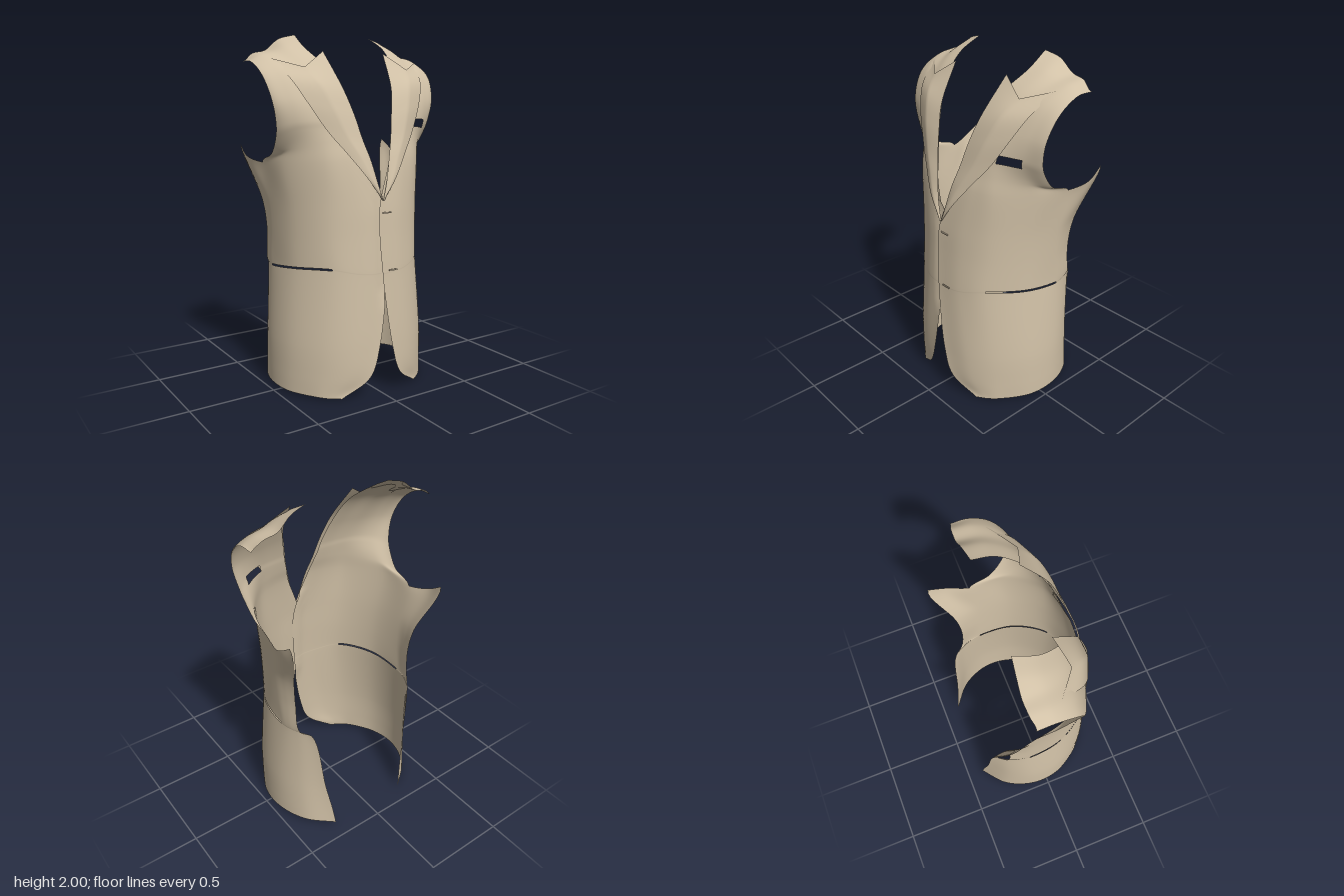
import * as THREE from 'three';

const K = 8; // subdivisions between neighbouring control points

// Sections below the armhole, hem upwards: front edge, front, side and back edge.
const LOWER = [
  [[.25, .01, .335], [.36, .015, .245], [.467, .025, -.1], [.25, 0, -.4]],
  [[.1, .12, .392], [.35, .12, .257], [.467, .12, -.1], [.265, .12, -.385]],
  [[.04, .3, .4], [.335, .3, .27], [.463, .3, -.1], [.295, .3, -.36]],
  [[-.015, .69, .383], [.28, .728, .285], [.432, .7, -.12], [.355, .7, -.312]], // pocket slit, top of vent
  [[-.028, .9, .37], [.29, .9, .268], [.438, .9, -.1], [.407, .9, -.235]],
  [[-.02, 1.07, .357], [.295, 1.07, .26], [.45, 1.07, -.1], [.425, 1.07, -.255]],
  [[.07, 1.32, .318], [.305, 1.31, .25], [.48, 1.295, -.13], [.507, 1.385, -.357]], // armhole base
];
const SLIT_ROW = 3, VENT_TOP = [.398, .715, -.258];

// Sections of chest and shoulder: neck edge, front and armhole edge.
const UPPER = [
  [[.095, 1.41, .29], [.3, 1.41, .24], [.487, 1.35, 0]],
  [[.115, 1.475, .272], [.3, 1.487, .23], [.5, 1.45, .08]], // breast pocket, lower lip
  [[.125, 1.52, .262], [.31, 1.53, .222], [.51, 1.51, .104]], // breast pocket, upper lip
  [[.16, 1.65, .215], [.338, 1.65, .18], [.535, 1.63, .112]],
  [[.215, 1.81, .125], [.385, 1.8, .088], [.56, 1.765, .05]],
  [[.268, 1.925, -.02], [.425, 1.885, -.045], [.57, 1.838, -.06]],
  [[.255, 2, -.152], [.43, 1.91, -.172], [.572, 1.843, -.16]], // shoulder seam
];
const ARMHOLE_ROW = LOWER.length, BREAST_POCKET_ROW = ARMHOLE_ROW + 1, ARMHOLE_COL = 4;

// Lapel from its foot up: roll edge and outer edge; the last row has the notch between.
const LAPEL = [
  [[0, 1.1, .362], [.006, 1.1, .362]],
  [[.03, 1.2, .35], [.09, 1.215, .354]],
  [[.06, 1.32, .328], [.19, 1.35, .306]],
  [[.09, 1.42, .3], [.285, 1.475, .252]],
  [[.125, 1.57, .258], [.37, 1.62, .198]],
  [[.16, 1.7, .207], [.43, 1.74, .132]],
  [[.2, 1.9, .068], [.34, 1.81, .104], [.48, 1.855, 0]],
];

const toVectors = row => row.map(p => new THREE.Vector3(...p));

// Put a point pushed outwards between each pair, so that a section rounds the body.
function rounded(row) {
  const out = [row[0]];
  for (let i = 1; i < row.length; i++) {
    const a = row[i - 1], b = row[i];
    const swell = 1 + .75 * ((a.x - b.x) ** 2 + (a.z - b.z) ** 2);
    out.push(new THREE.Vector3(
      (a.x + b.x) / 2 * swell, a.y + (b.y - a.y) * .3, (a.z + b.z) / 2 * swell), b);
  }
  return out;
}

function bodyRows() {
  const lower = LOWER.map(toVectors);
  // the upper lip of the slit steps in at the top of the vent
  const lip = lower[SLIT_ROW].map(p => p.clone().setY(p.y + .009));
  lip[3].set(...VENT_TOP);
  lower.splice(SLIT_ROW + 1, 0, lip);
  const rows = [...lower, ...UPPER.map(toVectors)].map(rounded);
  // carry the short rows on behind the armhole so the grid is full
  const base = rows[ARMHOLE_ROW];
  for (const row of rows) {
    const shift = row[ARMHOLE_COL].clone().sub(base[ARMHOLE_COL]);
    while (row.length < base.length) row.push(base[row.length].clone().add(shift));
  }
  return rows;
}

function lapelRows() {
  return LAPEL.map(toVectors).map(row => {
    if (row.length === 3) return row;
    const [inner, outer] = row;
    const middle = inner.clone().lerp(outer, .5);
    middle.z += .3 * (outer.x - inner.x) ** 2;
    return [inner, middle, outer];
  });
}

function sampleSpline(points) {
  const n = (points.length - 1) * K;
  const curve = new THREE.CatmullRomCurve3(points);
  return Array.from({ length: n + 1 }, (_, i) => curve.getPoint(i / n));
}

function sampleStraight(points) {
  const out = [points[0].clone()];
  for (let i = 1; i < points.length; i++)
    for (let k = 1; k <= K; k++) out.push(points[i - 1].clone().lerp(points[i], k / K));
  return out;
}

// Smooth sheet through rows of control points; keep(row, col) can leave out whole patches.
function sheet(rows, side, sampleRow, keep, adjust) {
  const across = rows.map(sampleRow);
  const cols = across[0].length;
  const columns = Array.from({ length: cols }, (_, j) => sampleSpline(across.map(r => r[j])));
  const count = columns[0].length;
  const position = [], index = [];
  for (let i = 0; i < count; i++)
    for (let j = 0; j < cols; j++) {
      const p = columns[j][i].clone();
      adjust(p, j / (cols - 1));
      position.push(p.x * side, p.y, p.z);
    }
  for (let i = 0; i < count - 1; i++)
    for (let j = 0; j < cols - 1; j++) {
      if (!keep(Math.floor(i / K), Math.floor(j / K))) continue;
      const a = i * cols + j, b = a + 1, c = a + cols, d = c + 1;
      if (side > 0) index.push(a, b, d, a, d, c);
      else index.push(a, d, b, a, c, d);
    }
  const geometry = new THREE.BufferGeometry();
  geometry.setAttribute('position', new THREE.Float32BufferAttribute(position, 3));
  geometry.setIndex(index);
  geometry.computeVertexNormals();
  return geometry;
}

export function createModel() {
  const jacket = new THREE.Group();
  jacket.name = 'jacketFront';
  const cloth = new THREE.MeshStandardMaterial({ color: 0xd0c0a6, side: THREE.DoubleSide });
  cloth.name = 'beige cloth';

  const add = (name, geometry) => {
    const mesh = new THREE.Mesh(geometry, cloth);
    mesh.name = name;
    jacket.add(mesh);
    return mesh;
  };

  for (const [label, side] of [['left', 1], ['right', -1]]) {
    // panel with armhole, pocket slit, and a breast pocket opening on the left only
    const keepBody = (r, c) => {
      if (r >= ARMHOLE_ROW && c >= ARMHOLE_COL) return false;
      if (r === SLIT_ROW && (c === 2 || c === 3)) return false;
      return !(side > 0 && r === BREAST_POCKET_ROW + 1 && c === 2);
    };
    // the right front edge tucks under the left one
    const tuck = p => {
      if (side < 0 && p.x < .06 && p.y > .55 && p.y < 1.2) p.z -= .014 * Math.min(1, (.06 - p.x) / .05);
    };
    add(label + 'Panel', sheet(bodyRows(), side, sampleSpline, keepBody, tuck));

    // peaked lapel lying on the chest
    const bulge = (p, u) => { p.z += .008 * Math.sin(Math.PI * u); };
    add(label + 'Lapel', sheet(lapelRows(), side, sampleStraight, () => true, bulge));
  }

  // buttonholes on the overlapping left edge
  for (const [x, y, z] of [[.025, 1.03, .362], [.055, .712, .386]])
    add('buttonhole', new THREE.BoxGeometry(.055, .007, .006)).position.set(x, y, z);

  return jacket;
}
